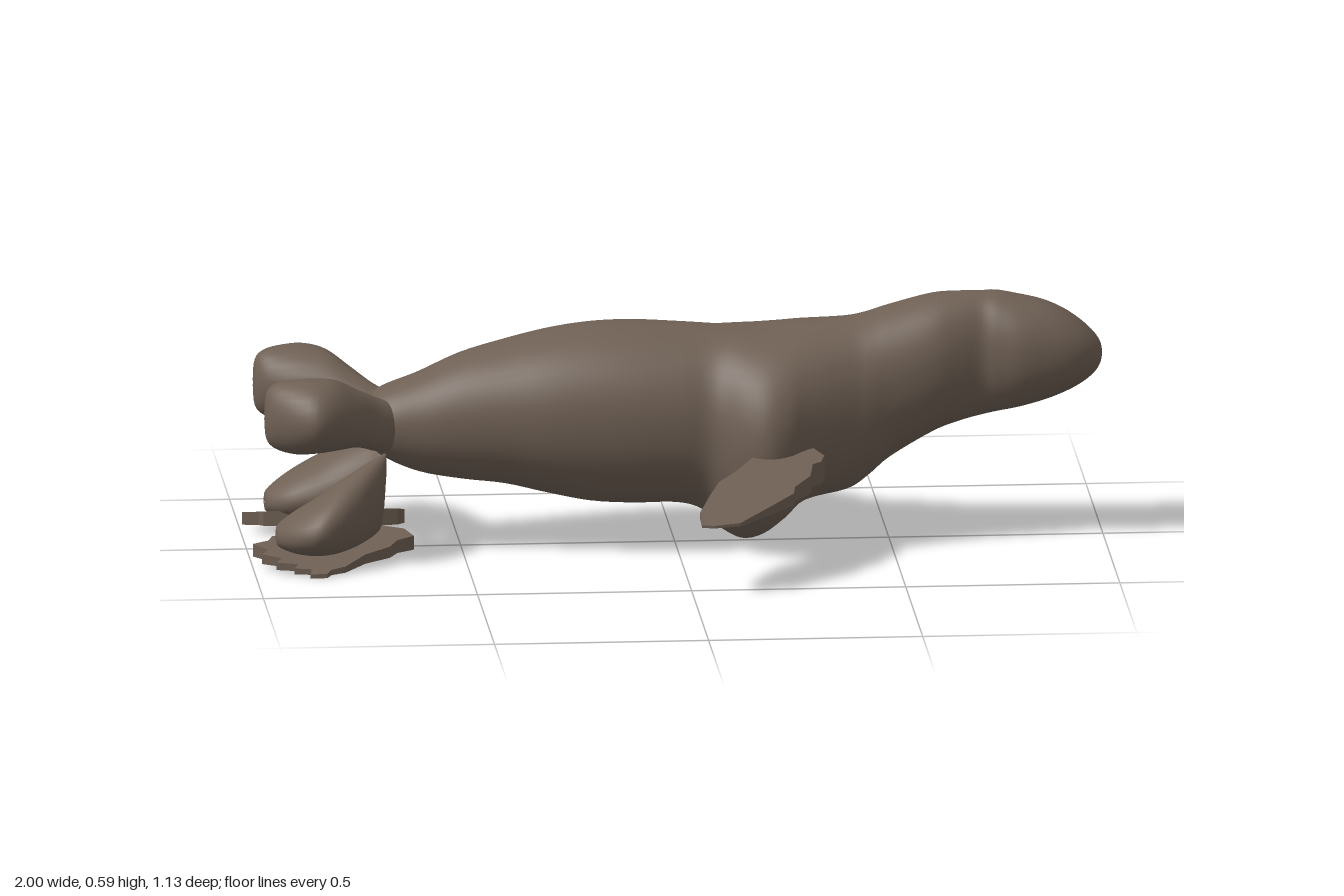
import * as THREE from 'three';

const hide = new THREE.MeshStandardMaterial({ name: 'brownHide', color: 0x6f6054 });

// Smooth skin along x through rows of [x, yBottom, yTop, zMin, zMax]
function loft(name, rows, side = 1, steps = 4, ring = 40, power = 1) {
  const curve = new THREE.CubicInterpolant(rows.map((_, i) => i), rows.flat(), 5);
  const positions = [], index = [];
  const count = (rows.length - 1) * steps;
  const round = (v) => Math.sign(v) * Math.abs(v) ** power;
  for (let i = 0; i <= count; i++) {
    const [x, y0, y1, z0, z1] = curve.evaluate(i / steps);
    for (let j = 0; j < ring; j++) {
      const a = (j / ring) * Math.PI * 2;
      positions.push(
        x,
        (y0 + y1) / 2 + ((y1 - y0) / 2) * round(Math.cos(a)),
        side * (z0 + z1) / 2 + ((z1 - z0) / 2) * round(Math.sin(a)));
      if (i === count) continue;
      const p = i * ring + j, q = i * ring + (j + 1) % ring;
      index.push(p, q, p + ring, q, q + ring, p + ring);
    }
  }
  const geometry = new THREE.BufferGeometry();
  geometry.setAttribute('position', new THREE.Float32BufferAttribute(positions, 3));
  geometry.setIndex(index);
  geometry.computeVertexNormals();
  const mesh = new THREE.Mesh(geometry, hide);
  mesh.name = name;
  return mesh;
}

// Wedge-shaped fin: an (x, z) outline whose top and bottom heights follow z
function fin(name, outline, side, zRange, bottom, top) {
  const shape = new THREE.Shape(outline.map(([x, z]) => new THREE.Vector2(x, z)));
  const geometry = new THREE.ExtrudeGeometry(shape, { depth: 1, bevelEnabled: false });
  const p = geometry.attributes.position;
  for (let i = 0; i < p.count; i++) {
    const z = p.getY(i);
    const t = THREE.MathUtils.mapLinear(z, ...zRange, 0, 1);
    const level = side > 0 ? 1 - p.getZ(i) : p.getZ(i);
    const low = THREE.MathUtils.lerp(...bottom, t);
    const high = THREE.MathUtils.lerp(...top, t);
    p.setXYZ(i, p.getX(i), THREE.MathUtils.lerp(low, high, level), side * z);
  }
  geometry.computeVertexNormals();
  const mesh = new THREE.Mesh(geometry, hide);
  mesh.name = name;
  return mesh;
}

export function createModel() {
  const model = new THREE.Group();
  model.name = 'seaMammal';

  // Body and neck: x, bottom, top, half width, z offset
  const body = [
    [-0.715, 0.30, 0.31, 0.005, 0], [-0.71, 0.25, 0.36, 0.06, 0], [-0.68, 0.22, 0.385, 0.095, 0],
    [-0.6, 0.185, 0.415, 0.115, 0], [-0.5, 0.165, 0.458, 0.14, -0.005], [-0.4, 0.152, 0.485, 0.165, -0.01],
    [-0.3, 0.128, 0.508, 0.187, -0.012], [-0.2, 0.107, 0.522, 0.2, -0.014], [-0.1, 0.1, 0.525, 0.206, -0.015],
    [0, 0.1, 0.52, 0.202, -0.012], [0.06, 0.083, 0.517, 0.196, -0.008], [0.1, 0.042, 0.515, 0.208, -0.003],
    [0.15, 0.016, 0.515, 0.243, 0], [0.2, 0.026, 0.515, 0.262, 0], [0.25, 0.062, 0.518, 0.25, 0],
    [0.3, 0.104, 0.523, 0.218, 0], [0.4, 0.126, 0.53, 0.17, 0], [0.45, 0.158, 0.54, 0.153, 0],
    [0.5, 0.2, 0.556, 0.14, 0], [0.6, 0.258, 0.582, 0.126, 0], [0.66, 0.28, 0.587, 0.108, 0],
    [0.71, 0.293, 0.587, 0.092, 0], [0.75, 0.302, 0.588, 0.1, 0], [0.8, 0.312, 0.578, 0.11, 0],
  ].map(([x, y0, y1, w, z]) => [x, y0, y1, z - w, z + w]);
  // Rounded muzzle: x, bottom, top, half width
  const muzzle = [
    [0.86, 0.328, 0.563, 0.105], [0.91, 0.347, 0.54, 0.095], [0.95, 0.368, 0.512, 0.077],
    [0.98, 0.392, 0.483, 0.05], [0.994, 0.415, 0.46, 0.026], [0.998, 0.437, 0.439, 0.001],
  ].map(([x, y0, y1, w]) => [x, y0, y1, -w, w]);
  model.add(loft('body', [...body, ...muzzle], 1, 4, 48, 0.93));

  // Tail lobes, spread outward behind the body
  const upperLobe = [
    [-0.972, 0.355, 0.365, 0.165, 0.175], [-0.967, 0.305, 0.415, 0.14, 0.2], [-0.945, 0.282, 0.437, 0.11, 0.232],
    [-0.9, 0.272, 0.445, 0.085, 0.272], [-0.85, 0.274, 0.446, 0.067, 0.292], [-0.8, 0.275, 0.436, 0.052, 0.262],
    [-0.75, 0.272, 0.405, 0.03, 0.21], [-0.7, 0.25, 0.375, 0.01, 0.14], [-0.65, 0.25, 0.35, 0.01, 0.09],
    [-0.62, 0.295, 0.305, 0.04, 0.05],
  ];
  const lowerLobe = [
    [-0.945, 0.07, 0.075, 0.17, 0.18], [-0.94, 0.05, 0.1, 0.14, 0.21], [-0.9, 0.035, 0.13, 0.1, 0.262],
    [-0.85, 0.03, 0.16, 0.078, 0.288], [-0.8, 0.03, 0.192, 0.06, 0.268], [-0.75, 0.038, 0.217, 0.045, 0.22],
    [-0.71, 0.052, 0.233, 0.03, 0.165], [-0.69, 0.08, 0.238, 0.02, 0.13], [-0.68, 0.18, 0.24, 0.03, 0.09],
  ];

  // Front flipper and ragged hind foot outlines, as x, z
  const flipper = [
    [0.2, 0.2], [0.3, 0.2], [0.33, 0.245], [0.32, 0.275], [0.3, 0.285], [0.29, 0.34], [0.25, 0.39], [0.245, 0.42],
    [0.18, 0.485], [0.11, 0.553], [0.05, 0.565], [0.02, 0.56], [0.02, 0.5], [0.05, 0.42],
    [0.075, 0.36], [0.12, 0.31], [0.165, 0.245],
  ];
  const foot = [
    [-0.7, 0.08], [-0.64, 0.1], [-0.62, 0.135], [-0.66, 0.155], [-0.68, 0.185], [-0.74, 0.22],
    [-0.79, 0.275], [-0.825, 0.29], [-0.835, 0.308], [-0.875, 0.31], [-0.87, 0.285], [-0.91, 0.28],
    [-0.9, 0.26], [-0.95, 0.25], [-0.935, 0.23], [-0.98, 0.21], [-0.965, 0.19], [-0.998, 0.16],
    [-0.96, 0.145], [-0.95, 0.125], [-0.85, 0.1],
  ];

  for (const side of [1, -1]) {
    const label = side > 0 ? 'left' : 'right';
    model.add(
      loft(`${label}UpperTailLobe`, upperLobe, side, 4, 28),
      loft(`${label}LowerTailLobe`, lowerLobe, side, 4, 28),
      fin(`${label}FrontFlipper`, flipper, side, [0.25, 0.57], [0.2, 0.165], [0.258, 0.17]),
      fin(`${label}HindFoot`, foot, side, [0.1, 0.31], [0.03, 0.002], [0.068, 0.012]));
  }
  return model;
}
